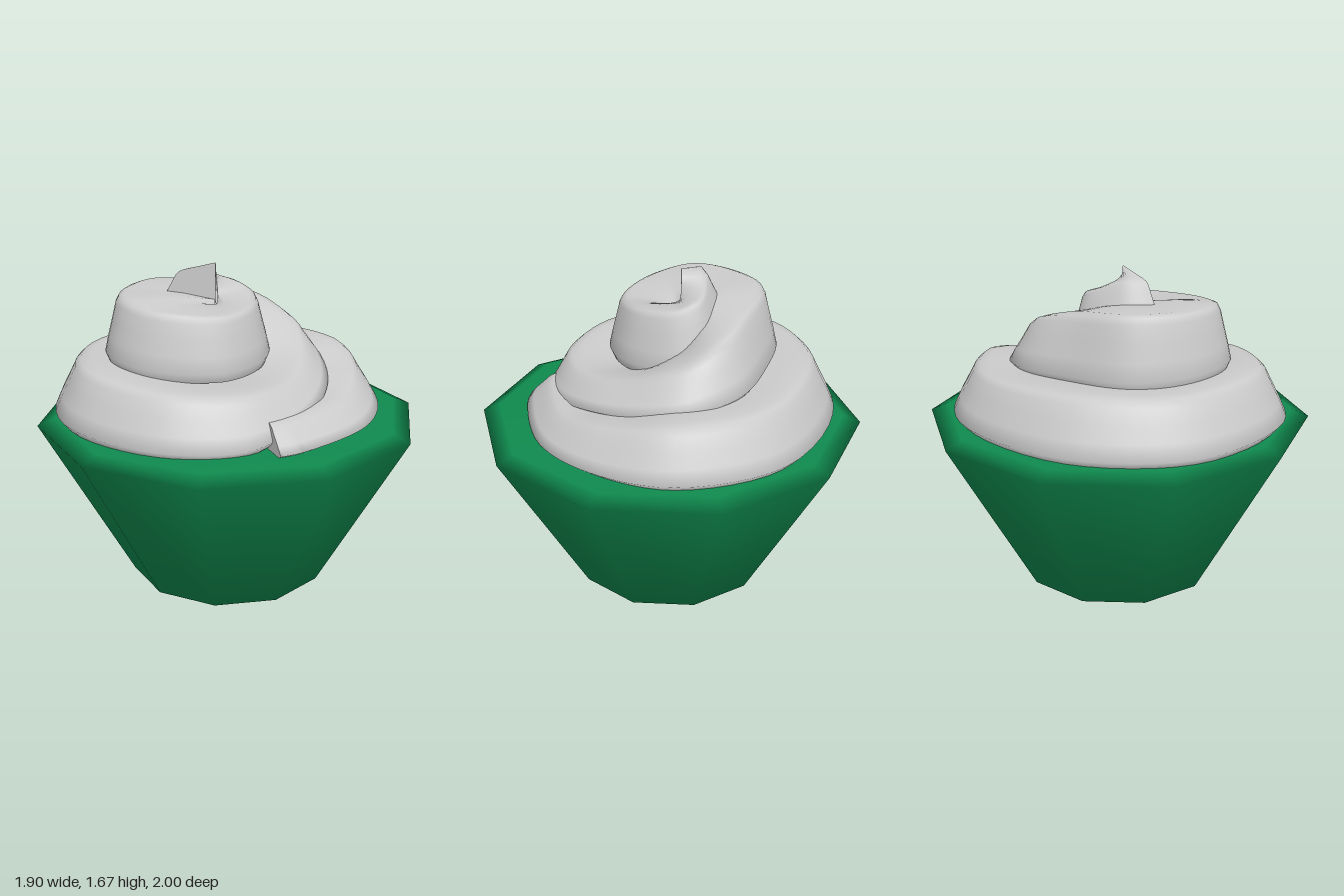
import * as THREE from 'three';

// Outer foot of the swirl: x, z, bottom height, top height
const KEYS = [
  [-0.13, 0.76, 0.89, 1.04], [0, 0.76, 0.89, 1.04], [0.45, 0.62, 0.89, 1.05], [0.72, 0.34, 0.89, 1.1],
  [0.85, -0.08, 0.89, 1.17], [0.62, -0.6, 0.89, 1.18], [-0.05, -0.86, 0.89, 1.2], [-0.64, -0.64, 0.89, 1.2],
  [-0.9, -0.05, 0.9, 1.21], [-0.65, 0.48, 0.89, 1.18], [-0.25, 0.67, 0.89, 1.16], [0.1, 0.6, 0.98, 1.16],
  [0.4, 0.34, 1.05, 1.21], [0.56, -0.08, 1.11, 1.33], [0.42, -0.36, 1.14, 1.44], [0.1, -0.5, 1.16, 1.5],
  [-0.25, -0.54, 1.17, 1.53], [-0.52, -0.35, 1.18, 1.53], [-0.62, -0.1, 1.19, 1.53], [-0.52, 0.15, 1.17, 1.5],
  [-0.2, 0.33, 1.16, 1.48], [0.08, 0.24, 1.17, 1.5], [0.23, -0.02, 1.19, 1.52], [0.16, -0.2, 1.3, 1.56],
  [-0.1, -0.25, 1.45, 1.61], [-0.27, -0.19, 1.47, 1.61],
];

// Swirl cross-section: inset towards the axis, share of the height
const SECTION = [
  [0.04, 0], [0, 0.15], [0.035, 0.4], [0.075, 0.65], [0.11, 0.88], [0.14, 0.97],
  [0.19, 1], [0.28, 0.98], [0.4, 0.94], [0.6, 0.85],
];

function swirlGeometry(steps) {
  const path = new THREE.CatmullRomCurve3(KEYS.map(([x, z]) => new THREE.Vector3(x, 0, z)));
  const levels = new THREE.CatmullRomCurve3(KEYS.map(([, , b, t]) => new THREE.Vector3(b, t, 0)), false, 'catmullrom', 0.4);
  const axis = new THREE.Vector3(-0.04, 0, -0.05);
  const pos = [], index = [], n = SECTION.length;

  for (let i = 0; i <= steps; i++) {
    const t = i / steps;
    const foot = path.getPoint(t), level = levels.getPoint(t);
    const inward = axis.clone().sub(foot);
    const reach = inward.length() * 0.98;
    inward.normalize();
    // walls grow steeper on the upper coil, and the very end lifts to a peak
    const steep = 1 - 0.45 * THREE.MathUtils.smoothstep(t, 0.55, 0.66);
    const lift = THREE.MathUtils.smoothstep(t, 0.92, 1);
    for (const [inset, h] of SECTION) {
      const d = Math.min(inset <= 0.19 ? inset * steep : inset, reach);
      const p = foot.clone().addScaledVector(inward, d);
      const flat = h * (1 - lift) + Math.min(1, inset > 0.19 ? 1 : h) * lift;
      const y = level.x + (level.y - level.x) * flat + lift * 0.06 * (d / reach);
      pos.push(p.x, y, p.z);
    }
  }
  for (let i = 0; i < steps; i++) {
    for (let j = 0; j < n - 1; j++) {
      const a = i * n + j, b = a + n;
      index.push(a, b, a + 1, b, b + 1, a + 1);
    }
  }
  // flat ends, with their own corners so the edges stay sharp
  for (const row of [0, steps]) {
    const start = pos.length / 3;
    for (let j = 0; j < n; j++) pos.push(...pos.slice((row * n + j) * 3, (row * n + j) * 3 + 3));
    pos.push(pos[(start + n - 1) * 3], pos[start * 3 + 1], pos[(start + n - 1) * 3 + 2]);
    for (let j = 0; j < n - 1; j++) {
      if (row === 0) index.push(start + n, start + j, start + j + 1);
      else index.push(start + n, start + j + 1, start + j);
    }
  }
  const geometry = new THREE.BufferGeometry();
  geometry.setAttribute('position', new THREE.Float32BufferAttribute(pos, 3));
  geometry.setIndex(index);
  geometry.computeVertexNormals();
  return geometry;
}

export function createModel() {
  const model = new THREE.Group();
  model.name = 'cupcake';

  // Ten-sided cup with a bevelled rim
  const profile = [[0, 0], [0.52, 0], [1, 0.86], [0.91, 0.9], [0, 0.9]].map(([r, y]) => new THREE.Vector2(r, y));
  const cup = new THREE.Mesh(
    new THREE.LatheGeometry(profile, 10),
    new THREE.MeshStandardMaterial({ color: 0x0f8a4e }),
  );
  cup.name = 'cup';
  model.add(cup);

  // Coiled icing
  const icing = new THREE.Mesh(
    swirlGeometry(150),
    new THREE.MeshStandardMaterial({ color: 0xcccccc, side: THREE.DoubleSide }),
  );
  icing.name = 'icingSwirl';
  model.add(icing);

  return model;
}
